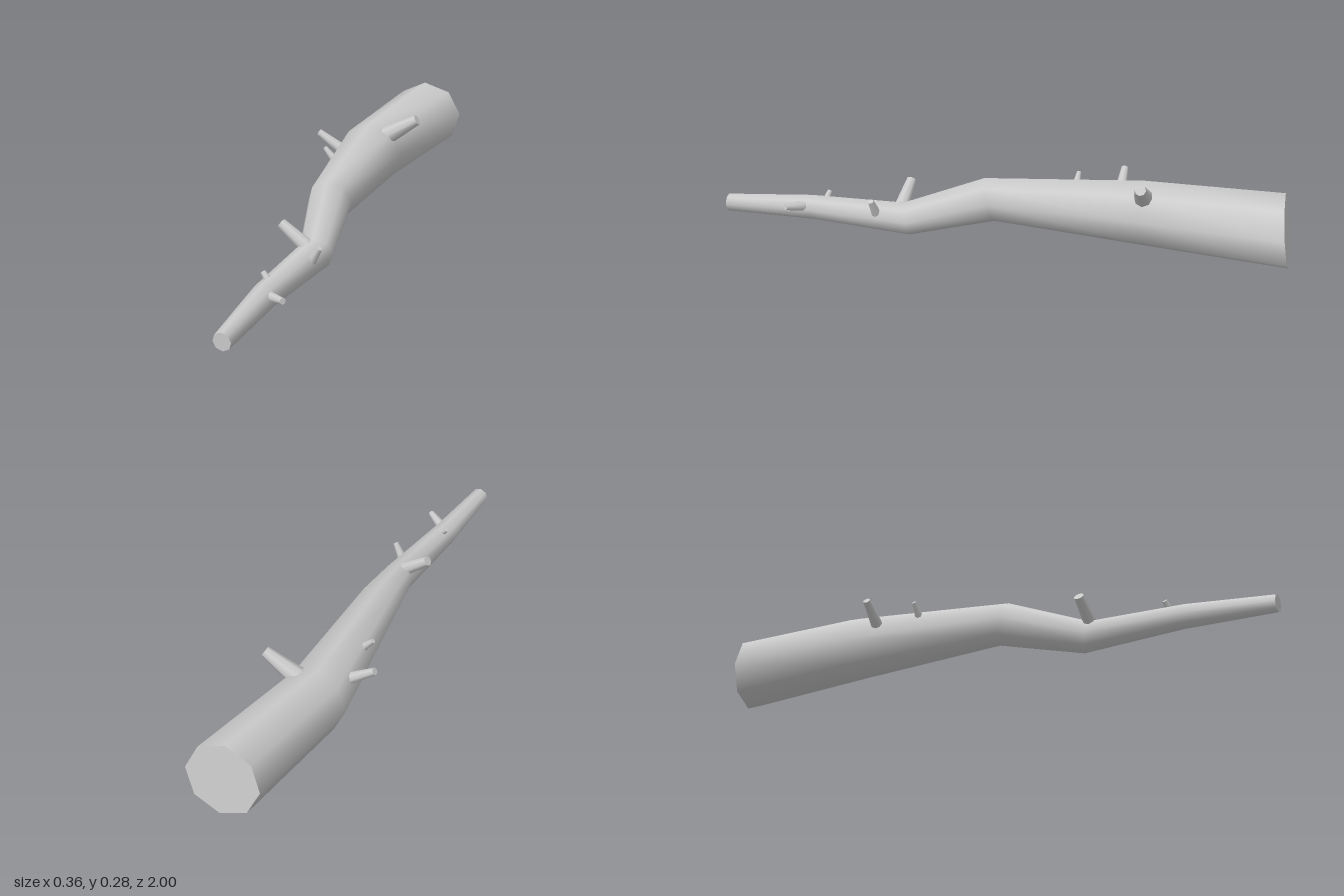
import * as THREE from 'three';

const SIDES = 8;
const material = new THREE.MeshStandardMaterial({ color: 0xcccccc, roughness: 0.9 });

// Rings along the branch: centre x, y, z, radius, tilt (dz per dx, dz per dy)
const rings = [
  [0.053, 0.130, -0.987, 0.129, -0.05, 0.1],
  [-0.011, 0.119, -0.505, 0.115, 0.03, 0.1],
  [0.031, 0.132, 0.035, 0.075, -0.18, 0.25],
  [0.087, 0.054, 0.318, 0.057, -0.2, 0.17],
  [0.056, 0.050, 0.675, 0.044, 0, 0.08],
  [0.052, 0.035, 0.995, 0.0315, 0.05, 0.05],
];

function ringPoint([x, y, z, r, tx, ty], j) {
  const a = (j / SIDES) * Math.PI * 2 + 0.07;
  const dx = r * Math.cos(a), dy = r * Math.sin(a);
  return [x + dx, y + dy, z + tx * dx + ty * dy];
}

// Smooth tapering skin with flat caps on both ends
function branchGeometry() {
  const pos = [], index = [];
  for (const ring of rings)
    for (let j = 0; j < SIDES; j++) pos.push(...ringPoint(ring, j));
  for (let i = 0; i < rings.length - 1; i++)
    for (let j = 0; j < SIDES; j++) {
      const k = (j + 1) % SIDES;
      const a = i * SIDES + j, b = i * SIDES + k, c = a + SIDES, d = b + SIDES;
      index.push(a, b, d, a, d, c);
    }
  // Caps have their own vertices so the rims stay sharp
  for (const [ring, front] of [[rings[0], false], [rings[rings.length - 1], true]]) {
    const start = pos.length / 3;
    for (let j = 0; j < SIDES; j++) pos.push(...ringPoint(ring, j));
    for (let j = 1; j < SIDES - 1; j++) {
      if (front) index.push(start, start + j, start + j + 1);
      else index.push(start, start + j + 1, start + j);
    }
  }
  const geo = new THREE.BufferGeometry();
  geo.setAttribute('position', new THREE.Float32BufferAttribute(pos, 3));
  geo.setIndex(index);
  geo.computeVertexNormals();
  return geo;
}

// Short tapered stub from a buried base to its cut tip
function twig(base, tip, rBase, rTip) {
  const a = new THREE.Vector3(...base), b = new THREE.Vector3(...tip);
  const dir = b.clone().sub(a);
  const mesh = new THREE.Mesh(new THREE.CylinderGeometry(rTip, rBase, dir.length(), SIDES), material);
  mesh.position.copy(a).add(b).multiplyScalar(0.5);
  mesh.quaternion.setFromUnitVectors(new THREE.Vector3(0, 1, 0), dir.normalize());
  return mesh;
}

export function createModel() {
  const group = new THREE.Group();
  group.name = 'branch';

  const stem = new THREE.Mesh(branchGeometry(), material);
  stem.name = 'stem';
  group.add(stem);

  // Twigs: base, tip, base radius, tip radius
  const twigs = [
    [[0.05, 0.195, -0.505], [0.162, 0.266, -0.513], 0.034, 0.019],
    [[-0.08, 0.155, -0.398], [-0.176, 0.216, -0.395], 0.022, 0.013],
    [[-0.06, 0.175, -0.248], [-0.098, 0.215, -0.25], 0.015, 0.008],
    [[0.065, 0.09, 0.343], [-0.027, 0.155, 0.335], 0.026, 0.018],
    [[0.112, 0.072, 0.42], [0.144, 0.127, 0.428], 0.017, 0.01],
    [[0.055, 0.075, 0.628], [0.027, 0.106, 0.62], 0.014, 0.009],
    [[0.085, 0.062, 0.7], [0.145, 0.075, 0.743], 0.018, 0.011],
  ];
  twigs.forEach((t, i) => {
    const mesh = twig(...t);
    mesh.name = `twig${i + 1}`;
    group.add(mesh);
  });
  return group;
}
